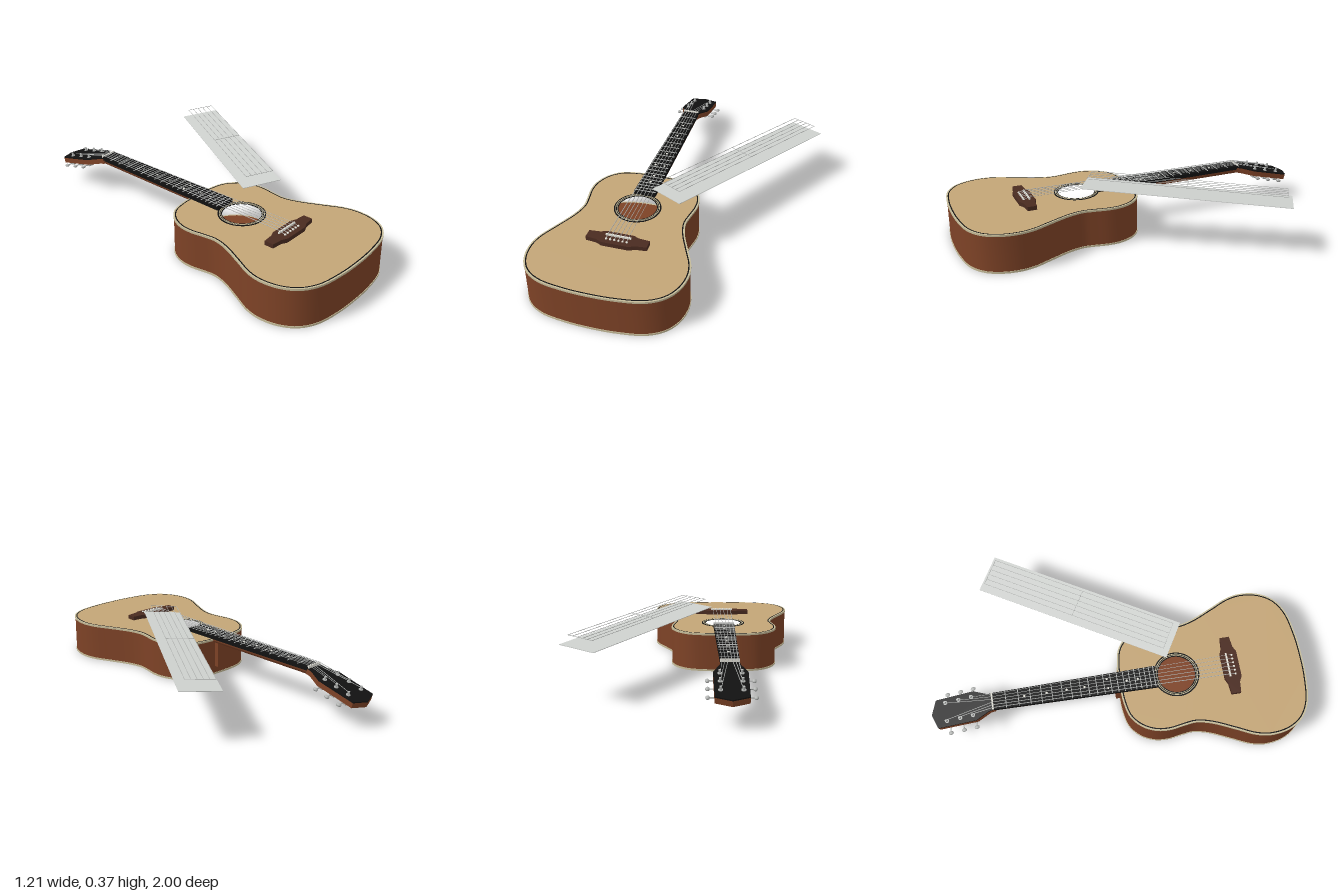
import * as THREE from 'three';
import { toCreasedNormals } from 'three/addons/utils/BufferGeometryUtils.js';

const material = (name, color) => {
  const m = new THREE.MeshStandardMaterial({ color });
  m.name = name;
  return m;
};

export function createModel() {
  const spruce = material('spruce top', 0xc3a577);
  const mahogany = material('mahogany', 0x7d4226);
  const rosewood = material('rosewood', 0x4a2b20);
  const ebony = material('ebony', 0x111111);
  const cream = material('cream binding', 0xc4ba98);
  const metal = material('metal', 0xb2b4b2);
  const ivory = material('ivory', 0xe4e2d8);
  const cardGrey = material('card grey', 0xcfd2cf);

  const model = new THREE.Group();
  const guitar = new THREE.Group();
  guitar.name = 'guitar';
  guitar.position.x = -0.2;
  model.add(guitar);

  const add = (parent, name, geometry, mat, x = 0, y = 0, z = 0) => {
    const mesh = new THREE.Mesh(geometry, mat);
    mesh.name = name;
    mesh.position.set(x, y, z);
    parent.add(mesh);
    return mesh;
  };
  const box = (parent, name, mat, w, h, d, x, y, z) =>
    add(parent, name, new THREE.BoxGeometry(w, h, d), mat, x, y, z);
  // flat plan shape (x, -z) raised to a slab standing on y
  const slab = (parent, name, mat, shape, y, height) => {
    const g = new THREE.ExtrudeGeometry(shape, { depth: height, bevelEnabled: false, curveSegments: 32 });
    g.rotateX(-Math.PI / 2);
    return add(parent, name, toCreasedNormals(g, 0.6), mat, 0, y, 0);
  };
  const rod = (parent, name, mat, a, b, r, sides = 6) => {
    const from = new THREE.Vector3(...a), dir = new THREE.Vector3(...b).sub(from);
    const mesh = add(parent, name, new THREE.CylinderGeometry(r, r, dir.length(), sides), mat);
    mesh.position.copy(from).addScaledVector(dir, 0.5);
    mesh.quaternion.setFromUnitVectors(new THREE.Vector3(0, 1, 0), dir.normalize());
    return mesh;
  };
  // mirrored polygon from half-width / z pairs
  const mirrored = (half) => new THREE.Shape([
    ...half.map(([x, z]) => new THREE.Vector2(x, -z)),
    ...half.slice().reverse().filter(([x]) => x > 0).map(([x, z]) => new THREE.Vector2(-x, -z)),
  ]);

  // Body outline
  const half = [
    [0, 0.01], [0.11, 0.015], [0.19, 0.036], [0.25, 0.088], [0.284, 0.16], [0.29, 0.23],
    [0.278, 0.31], [0.272, 0.37], [0.29, 0.45], [0.343, 0.57], [0.386, 0.665], [0.4, 0.745],
    [0.385, 0.84], [0.34, 0.915], [0.26, 0.965], [0.13, 0.989], [0, 0.995],
  ];
  const loop = [...half, ...half.slice(1, -1).reverse().map(([x, z]) => [-x, z])];
  const curve = new THREE.CatmullRomCurve3(loop.map(([x, z]) => new THREE.Vector3(x, -z, 0)), true);
  const outline = (inset) => Array.from({ length: 120 }, (_, i) => {
    const p = curve.getPoint(i / 120), t = curve.getTangent(i / 120);
    return new THREE.Vector2(p.x + t.y * inset, p.y - t.x * inset);
  });
  const ring = (outer, inner) => {
    const s = new THREE.Shape(outline(outer));
    s.holes.push(new THREE.Path(outline(inner)));
    return s;
  };
  const holeZ = 0.315;
  const disc = (r) => new THREE.Path().absarc(0, -holeZ, r, 0, Math.PI * 2, true);

  slab(guitar, 'back', mahogany, new THREE.Shape(outline(0.002)), 0, 0.01);
  slab(guitar, 'sides', mahogany, ring(0, 0.012), 0.008, 0.194);
  const topShape = new THREE.Shape(outline(0.003));
  topShape.holes.push(disc(0.1));
  slab(guitar, 'soundboard', spruce, topShape, 0.2, 0.01);
  for (const y of [0.001, 0.201]) slab(guitar, 'binding', cream, ring(-0.003, 0.006), y, 0.01);
  slab(guitar, 'purfling', ebony, ring(0.005, 0.011), 0.21, 0.0015);

  // Rosette around the sound hole
  for (const [outer, inner, mat, h] of [[0.122, 0.099, ebony, 0.002], [0.115, 0.111, cream, 0.003], [0.107, 0.104, cream, 0.003]]) {
    const s = new THREE.Shape().absarc(0, -holeZ, outer, 0, Math.PI * 2, false);
    s.holes.push(disc(inner));
    slab(guitar, 'rosette', mat, s, 0.21, h);
  }

  // Bridge, saddle and pins
  slab(guitar, 'bridge', rosewood, mirrored([
    [0.07, 0.562], [0.1, 0.575], [0.157, 0.58], [0.157, 0.63], [0.1, 0.636], [0.07, 0.651],
  ]), 0.21, 0.022);
  box(guitar, 'saddle', ivory, 0.13, 0.012, 0.008, 0, 0.235, 0.592);

  // Neck: half-round section tapering toward the nut
  const section = new THREE.Shape();
  section.absellipse(0, 0, 0.055, 0.035, Math.PI, Math.PI * 2, false);
  const neckGeo = new THREE.ExtrudeGeometry(section, { depth: 0.68, bevelEnabled: false, curveSegments: 14 });
  const np = neckGeo.attributes.position;
  for (let i = 0; i < np.count; i++) np.setX(i, np.getX(i) * (0.82 + 0.18 * np.getZ(i) / 0.68));
  add(guitar, 'neck', toCreasedNormals(neckGeo, 0.6), mahogany, 0, 0.215, -0.66);
  box(guitar, 'heel', mahogany, 0.07, 0.15, 0.036, 0, 0.125, 0.003);

  // Fretboard with frets and dots
  const nutZ = -0.665, scale = 1.255;
  const boardHalf = (z) => 0.045 + 0.013 * (z - nutZ) / 0.87;
  slab(guitar, 'fretboard', ebony, mirrored([[0.045, nutZ], [0.058, 0.205]]), 0.212, 0.021);
  const fretZ = (n) => nutZ + scale * (1 - 2 ** (-n / 12));
  for (let n = 1; n <= 20; n++) {
    const z = fretZ(n);
    box(guitar, 'fret', metal, boardHalf(z) * 2, 0.003, 0.004, 0, 0.234, z);
  }
  for (const n of [3, 5, 7, 9, 12, 15, 17]) {
    for (const x of n === 12 ? [-0.025, 0.025] : [0]) {
      add(guitar, 'inlayDot', new THREE.CylinderGeometry(0.006, 0.006, 0.002, 12), ivory, x, 0.2335, (fretZ(n) + fretZ(n - 1)) / 2);
    }
  }
  box(guitar, 'nut', ivory, 0.09, 0.026, 0.008, 0, 0.227, nutZ);

  // Headstock, tilted back
  const tilt = 0.245, headY = 0.228, headZ = -0.66;
  const head = new THREE.Group();
  head.name = 'headstock';
  head.position.set(0, headY, headZ);
  head.rotation.x = -tilt;
  guitar.add(head);
  const headShape = mirrored([[0.045, 0], [0.047, -0.03], [0.08, -0.105], [0.077, -0.32], [0, -0.35]]);
  slab(head, 'headstockWood', mahogany, headShape, -0.034, 0.028);
  slab(head, 'headstockFace', ebony, headShape, -0.006, 0.006);

  // Tuners
  const tunerZ = [-0.775, -0.845, -0.918];
  for (const side of [-1, 1]) {
    for (const worldZ of tunerZ) {
      const z = (worldZ - headZ) / Math.cos(tilt);
      rod(head, 'tunerPost', metal, [side * 0.05, -0.034, z], [side * 0.05, 0.02, z], 0.006, 10);
      add(head, 'tunerBushing', new THREE.CylinderGeometry(0.011, 0.011, 0.004, 12), metal, side * 0.05, 0.002, z);
      box(head, 'tunerHousing', metal, 0.03, 0.014, 0.026, side * 0.055, -0.04, z);
      rod(head, 'tunerShaft', metal, [side * 0.06, -0.038, z], [side * 0.1, -0.038, z], 0.003);
      const knob = add(head, 'tunerKnob', new THREE.SphereGeometry(0.014, 12, 8), metal, side * 0.106, -0.038, z);
      knob.scale.set(0.75, 0.6, 1);
    }
  }

  // Strings from bridge pins over saddle and nut to the posts
  for (let i = 0; i < 6; i++) {
    const t = (i - 2.5) / 2.5, side = Math.sign(t);
    const r = 0.0019 - 0.00015 * i;
    const bx = t * 0.053, nx = t * 0.037;
    const postZ = tunerZ[i < 3 ? i : 5 - i];
    const postY = headY + (postZ - headZ) * Math.tan(tilt) + 0.014;
    add(guitar, 'bridgePin', new THREE.SphereGeometry(0.006, 10, 6), ivory, bx, 0.234, 0.622);
    rod(guitar, 'string', metal, [bx, 0.234, 0.622], [bx, 0.243, 0.592], r);
    rod(guitar, 'string', metal, [bx, 0.243, 0.592], [nx, 0.241, nutZ], r);
    rod(guitar, 'string', metal, [nx, 0.241, nutZ], [side * 0.046, postY, postZ], r);
  }

  // Floating card with a grid of spare strings above it
  const card = new THREE.Group();
  card.name = 'stringCard';
  const xAxis = new THREE.Vector3(0.175, 0.015, 0.105).normalize();
  const zAxis = new THREE.Vector3(-0.565, 0.045, 0.925).normalize();
  const yAxis = new THREE.Vector3().crossVectors(zAxis, xAxis).normalize();
  zAxis.crossVectors(xAxis, yAxis);
  card.quaternion.setFromRotationMatrix(new THREE.Matrix4().makeBasis(xAxis, yAxis, zAxis));
  card.position.set(0.235, 0.295, -0.145);
  model.add(card);
  box(card, 'cardSheet', cardGrey, 0.204, 0.003, 1.085, 0, 0, 0);
  for (let i = 0; i < 6; i++) {
    box(card, 'spareString', metal, 0.002, 0.002, 1.03, (i - 2.5) * 0.029, 0.047, 0);
  }
  for (const z of [-0.515, 0, 0.515]) box(card, 'crossString', metal, 0.147, 0.002, 0.002, 0, 0.047, z);

  return model;
}
